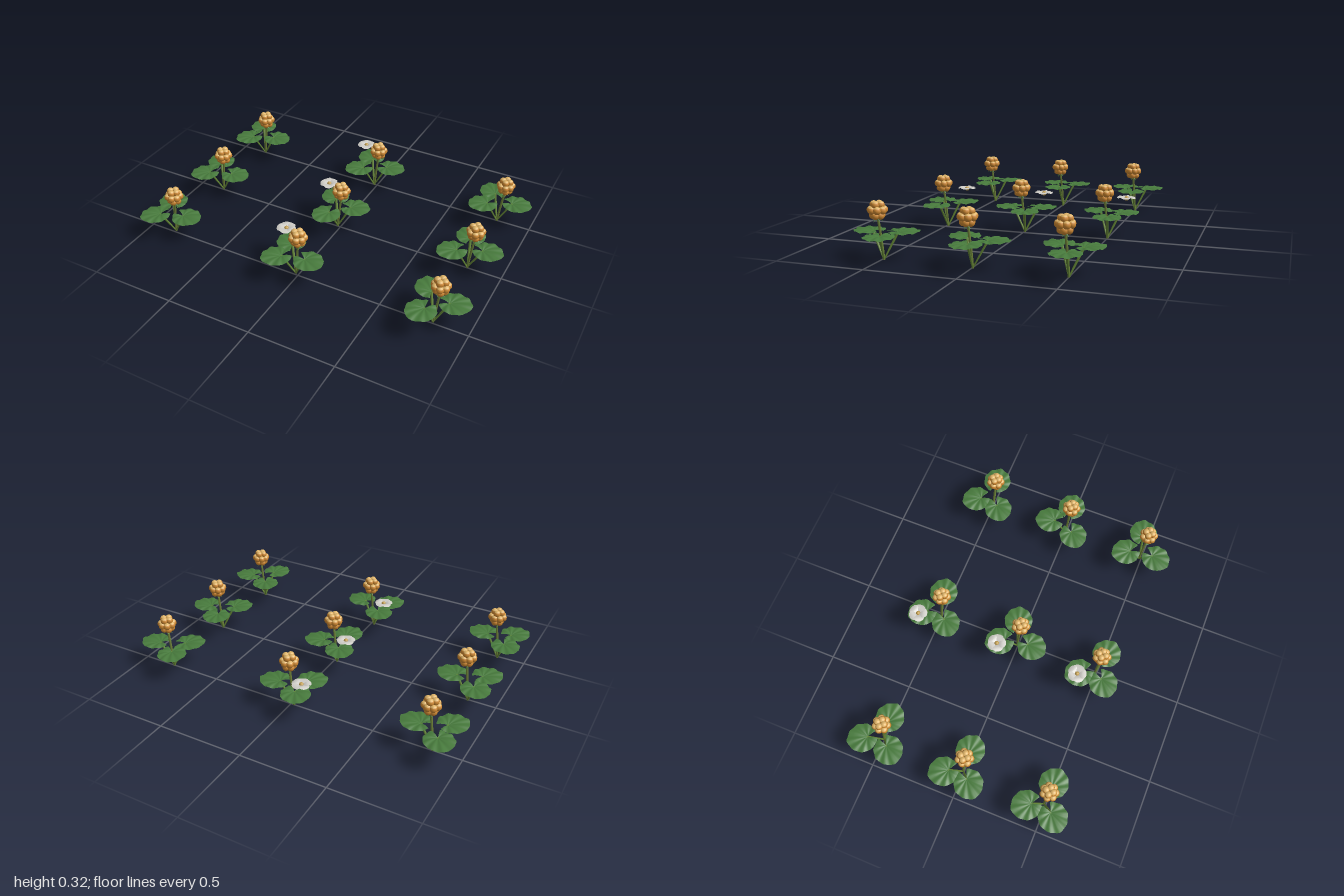
import * as THREE from 'three';
import { mergeGeometries } from 'three/addons/utils/BufferGeometryUtils.js';
import { ParametricGeometry } from 'three/addons/geometries/ParametricGeometry.js';

const BERRY = new THREE.Vector3(0.03, 0.266, 0.012);

function material(name, color, side = THREE.FrontSide) {
  const m = new THREE.MeshStandardMaterial({ color, side });
  m.name = name;
  return m;
}

function mesh(name, geometry, mat) {
  const m = new THREE.Mesh(geometry, mat);
  m.name = name;
  return m;
}

// Round, pleated leaf with a notch running in to the top of its stalk
function leafGeometry() {
  const g = new ParametricGeometry((u, v, p) => {
    const t = (u - 0.5) * 2 * (Math.PI - 0.26);
    const scallop = 1 + 0.02 * Math.cos(t * 9);
    const point = 0.007 * Math.pow(Math.max(0, Math.cos(t)), 8);
    const rx = 0.103 + Math.cos(t) * 0.082 * scallop + point;
    const rz = Math.sin(t) * 0.082 * scallop;
    const y = 0.14 + 0.008 * Math.sin(v * 2.7) + 0.003 * v * Math.cos(t * 9);
    p.set(0.075 + (rx - 0.075) * v, y, rz * v);
  }, 54, 4);
  g.computeVertexNormals();
  return g;
}

// Tapered stalk leaning outward from the root to the underside of a leaf
function leafStalkGeometry() {
  const g = new THREE.CylinderGeometry(0.008, 0.005, 1, 6);
  const p = g.attributes.position;
  for (let i = 0; i < p.count; i++) {
    const h = p.getY(i) + 0.5;
    p.setXYZ(i, p.getX(i) + 0.077 * h, 0.141 * h, p.getZ(i));
  }
  g.computeVertexNormals();
  return g;
}

// Cluster of round beads, built from a cap or a lower shell of each sphere
function clusterGeometry(start, length) {
  const parts = [];
  const rings = [[0.029, 0.02, 4], [0.002, 0.034, 7], [-0.026, 0.022, 5]];
  rings.forEach(([y, r, n], k) => {
    for (let i = 0; i < n; i++) {
      const a = (i + k * 0.5) / n * Math.PI * 2;
      const bead = new THREE.SphereGeometry(0.0208, 12, 6, 0, Math.PI * 2, start, length);
      bead.translate(Math.cos(a) * r, y, Math.sin(a) * r);
      parts.push(bead);
    }
  });
  return mergeGeometries(parts);
}

// Five broad, overlapping petals around the flower centre
function petalsGeometry() {
  const petals = [];
  for (let i = 0; i < 5; i++) {
    const petal = new ParametricGeometry((u, v, p) => {
      const t = u * Math.PI * 2;
      const x = 0.028 + Math.cos(t) * 0.026 * v;
      const z = Math.sin(t) * 0.029 * v * (1 + 0.2 * Math.cos(t));
      p.set(x, 0.013 * Math.sin(x * 48) - 0.004 + z * 0.06, z);
    }, 18, 4);
    petal.computeVertexNormals();
    petal.rotateY(i / 5 * Math.PI * 2);
    petals.push(petal);
  }
  return mergeGeometries(petals);
}

// Small drooping sepals beneath the berry
function sepalsGeometry() {
  const sepals = [];
  for (let i = 0; i < 5; i++) {
    const s = new THREE.ConeGeometry(0.008, 0.032, 5);
    s.scale(1, 1, 0.35);
    s.rotateX(Math.PI / 2 + 0.6);
    s.translate(0, -0.05, 0.016);
    s.rotateY(i / 5 * Math.PI * 2);
    sepals.push(s);
  }
  return mergeGeometries(sepals);
}

export function createModel() {
  const leafGreen = material('leaf green', 0x477a3c, THREE.DoubleSide);
  const stalkGreen = material('stalk green', 0x638535);
  const stemOlive = material('stem olive', 0x6c8038);
  const orange = material('berry orange', 0xcf8932);
  const paleOrange = material('pale berry top', 0xdfb468);
  const white = material('petal white', 0xcfcdc7, THREE.DoubleSide);
  const yellow = material('flower centre yellow', 0xc4a052);

  const leaf = leafGeometry();
  const leafStalk = leafStalkGeometry();
  const berryTops = clusterGeometry(0, 0.95);
  const berrySides = clusterGeometry(0.95, Math.PI - 0.95);
  const core = new THREE.SphereGeometry(0.034, 12, 8);
  const sepals = sepalsGeometry();
  const petals = petalsGeometry();
  const flowerCentre = new THREE.SphereGeometry(0.0135, 12, 8);
  const stem = new THREE.TubeGeometry(new THREE.QuadraticBezierCurve3(
    new THREE.Vector3(0, 0, 0),
    new THREE.Vector3(0.012, 0.11, 0.003),
    new THREE.Vector3(BERRY.x, 0.235, BERRY.z)), 8, 0.0068, 7);

  // Leaf directions in degrees, by column then row
  const directions = [
    [[5, -125, 131], [5, -127, 136], [8, -127, 133]],
    [[-10, -127, 136], [-17, -125, 103], [16, -131, 137]],
    [[-6, -127, 138], [-3, -106, 137], [-15, -125, 110]],
  ];

  const model = new THREE.Group();
  model.name = 'berryPlants';
  [-0.84, -0.02, 0.80].forEach((x, column) => {
    [-0.5, -0.005, 0.488].forEach((z, row) => {
      const plant = new THREE.Group();
      plant.name = 'plant';
      plant.position.set(x, 0, z);

      for (const angle of directions[column][row]) {
        const frond = new THREE.Group();
        frond.name = 'leafWithStalk';
        frond.rotation.y = -THREE.MathUtils.degToRad(angle);
        frond.add(mesh('leaf', leaf, leafGreen), mesh('leafStalk', leafStalk, stalkGreen));
        plant.add(frond);
      }

      const berry = new THREE.Group();
      berry.name = 'berry';
      berry.position.copy(BERRY);
      berry.add(mesh('berryTops', berryTops, paleOrange),
        mesh('berrySides', berrySides, orange),
        mesh('berryCore', core, orange),
        mesh('sepals', sepals, leafGreen));
      plant.add(mesh('stem', stem, stemOlive), berry);

      // Only the middle column is in flower
      if (column === 1) {
        const flower = new THREE.Group();
        flower.name = 'flower';
        flower.position.set(-0.102, 0.218, -0.085);
        flower.add(mesh('petals', petals, white), mesh('flowerCentre', flowerCentre, yellow));
        plant.add(flower);
      }
      model.add(plant);
    });
  });
  return model;
}
